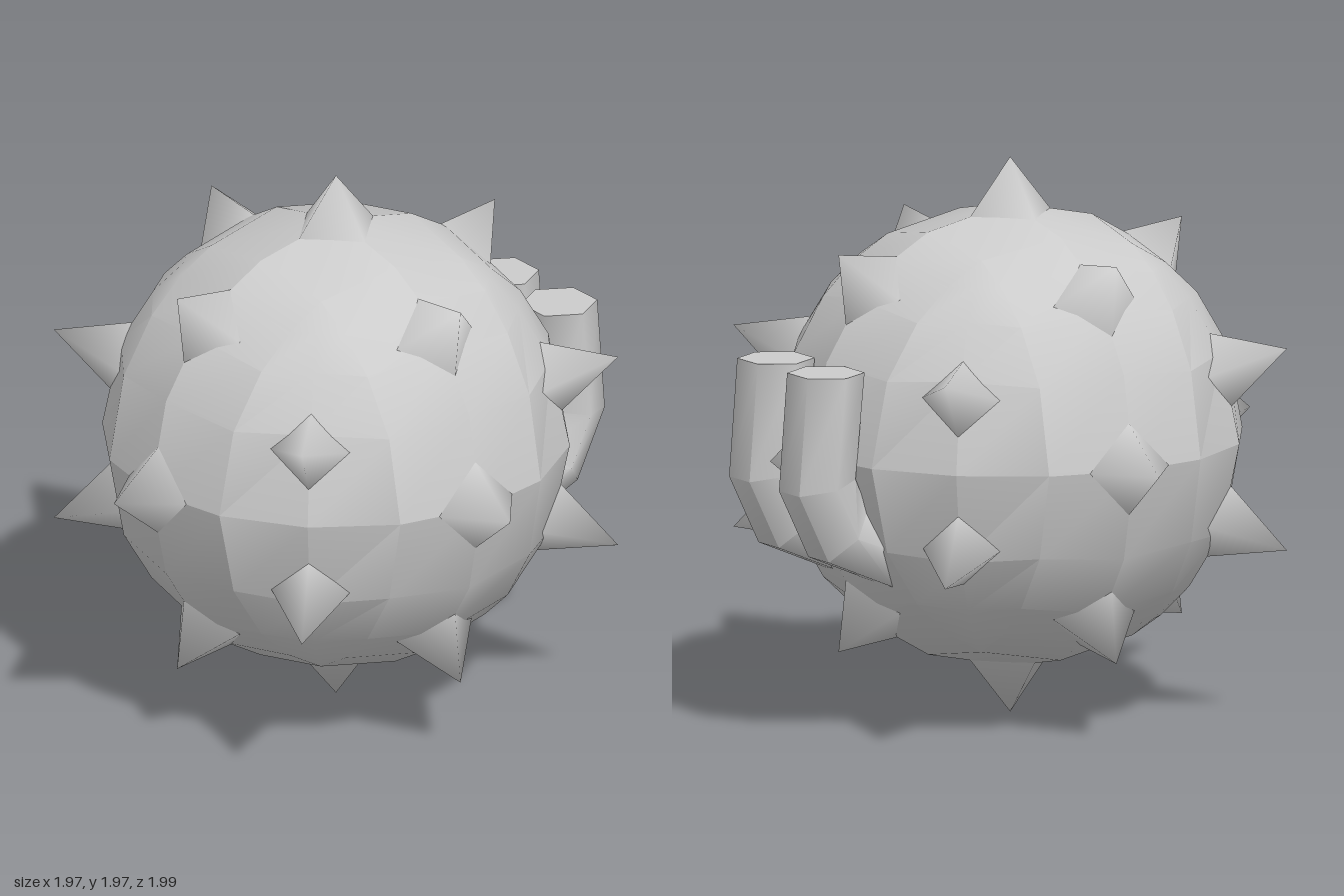
import * as THREE from 'three';
import { mergeVertices, toCreasedNormals } from 'three/addons/utils/BufferGeometryUtils.js';

const R = 0.82;                      // ball radius
const W = 0.31;                      // half width of the flat strips round the ball
const E = Math.sqrt(R * R - W * W);  // strip radius at its edges

const material = side => new THREE.MeshStandardMaterial({ color: 0xcccccc, side });

// Joins closed rings of points (counter-clockwise seen from the far end), with fans to the end points
function loft(rings, start, end, crease) {
  const n = rings[0].length;
  const points = [...rings.flat(), start, end];
  const first = points.length - 2, last = points.length - 1, top = (rings.length - 1) * n;
  const index = [];
  for (let j = 0; j < n; j++) {
    const k = (j + 1) % n;
    index.push(first, k, j, last, top + j, top + k);
    for (let i = 0; i < rings.length - 1; i++) {
      const a = i * n + j, b = i * n + k;
      index.push(a, b, b + n, a, b + n, a + n);
    }
  }
  const geometry = new THREE.BufferGeometry().setFromPoints(points);
  geometry.setIndex(index);
  return toCreasedNormals(geometry, crease);
}

// Faceted ball: four strips of constant width, with tapering gores between them
function ballGeometry() {
  const corner = THREE.MathUtils.radToDeg(Math.acos(W / E));
  const half = [23.5, 41, 54, corner];
  const levels = [...half.map(a => -a).reverse(), 0, ...half];
  const rings = levels.map(deg => {
    const t = THREE.MathUtils.degToRad(deg), s = Math.sin(t), c = Math.cos(t);
    const mid = (W + E * c) / 2;
    const quarter = [
      new THREE.Vector3(0, R * s, R * c),
      new THREE.Vector3(W, E * s, E * c),
      new THREE.Vector3(mid, E * s, mid).setLength(R),
      new THREE.Vector3(E * c, E * s, W),
    ];
    const ring = [];
    for (let q = 0; q < 4; q++) {
      for (const p of quarter) ring.push(p.clone().applyAxisAngle(THREE.Object3D.DEFAULT_UP, q * Math.PI / 2));
    }
    return ring;
  });
  return loft(rings, new THREE.Vector3(0, -R, 0), new THREE.Vector3(0, R, 0), 0.36);
}

// Smooth-shaded four-sided spike pointing out from the ball centre
function spike(tip, radius) {
  const base = 0.775, length = tip.length() - base;
  let geometry = new THREE.ConeGeometry(radius, length, 4, 1, true)
    .rotateX(Math.PI / 2).translate(0, 0, length / 2);
  geometry.deleteAttribute('uv');
  geometry.deleteAttribute('normal');
  geometry = mergeVertices(geometry);
  geometry.computeVertexNormals();
  const mesh = new THREE.Mesh(geometry, material(THREE.DoubleSide));
  mesh.name = 'spike';
  mesh.lookAt(tip);
  mesh.position.copy(tip).setLength(base);
  return mesh;
}

// Bent hexagonal bar, swept upward along a path in the y-z plane
function barGeometry() {
  const path = [[0.65, -0.565], [0.74, -0.795], [0.92, -0.88], [1.315, -0.845]]
    .map(([y, z]) => new THREE.Vector3(0, y, z));
  const end = path.length - 1;
  const rings = path.map((p, i) => {
    const before = p.clone().sub(path[Math.max(i - 1, 0)]).normalize();
    const after = path[Math.min(i + 1, end)].clone().sub(p).normalize();
    const along = before.add(after).normalize();
    if (i === end) along.set(0, 1, 0);   // level top end
    const out = new THREE.Vector3(1, 0, 0).cross(along);
    // corners point sideways, flats face front and back
    return Array.from({ length: 6 }, (_, j) => {
      const a = j * Math.PI / 3;
      const v = p.clone().addScaledVector(out, -0.135 * Math.sin(a));
      v.x += 0.135 * Math.cos(a);
      return v;
    });
  });
  return loft(rings, path[0], path[end], 1.1);
}

export function createModel() {
  const model = new THREE.Group();
  model.name = 'spikedBall';

  const body = new THREE.Group();
  body.name = 'body';
  body.position.set(0, 0.987, 0.012);
  model.add(body);

  const ball = new THREE.Mesh(ballGeometry(), material(THREE.FrontSide));
  ball.name = 'ball';
  body.add(ball);

  // Spikes on the axes, on the upright diagonals and on the gores
  const L = 0.983, D = 0.703;
  const spikes = new THREE.Group();
  spikes.name = 'spikes';
  const add = (x, y, z, radius = 0.172) => spikes.add(spike(new THREE.Vector3(x, y, z), radius));
  for (const s of [-1, 1]) {
    add(s * L, 0, 0);
    add(0, s * L, 0);
    add(0, 0, s * L);
    for (const t of [-1, 1]) {
      add(s * D, t * D, 0);
      add(0, t * D, s * D);
      for (const y of [-0.37, 0.345]) add(s * 0.7, y, t * 0.7, 0.145);
    }
  }
  body.add(spikes);

  // Pair of bent bars on the back
  const bar = barGeometry();
  for (const s of [-1, 1]) {
    const mesh = new THREE.Mesh(bar, material(THREE.FrontSide));
    mesh.name = s > 0 ? 'leftBackBar' : 'rightBackBar';
    mesh.position.x = s * 0.165;
    model.add(mesh);
  }
  return model;
}
